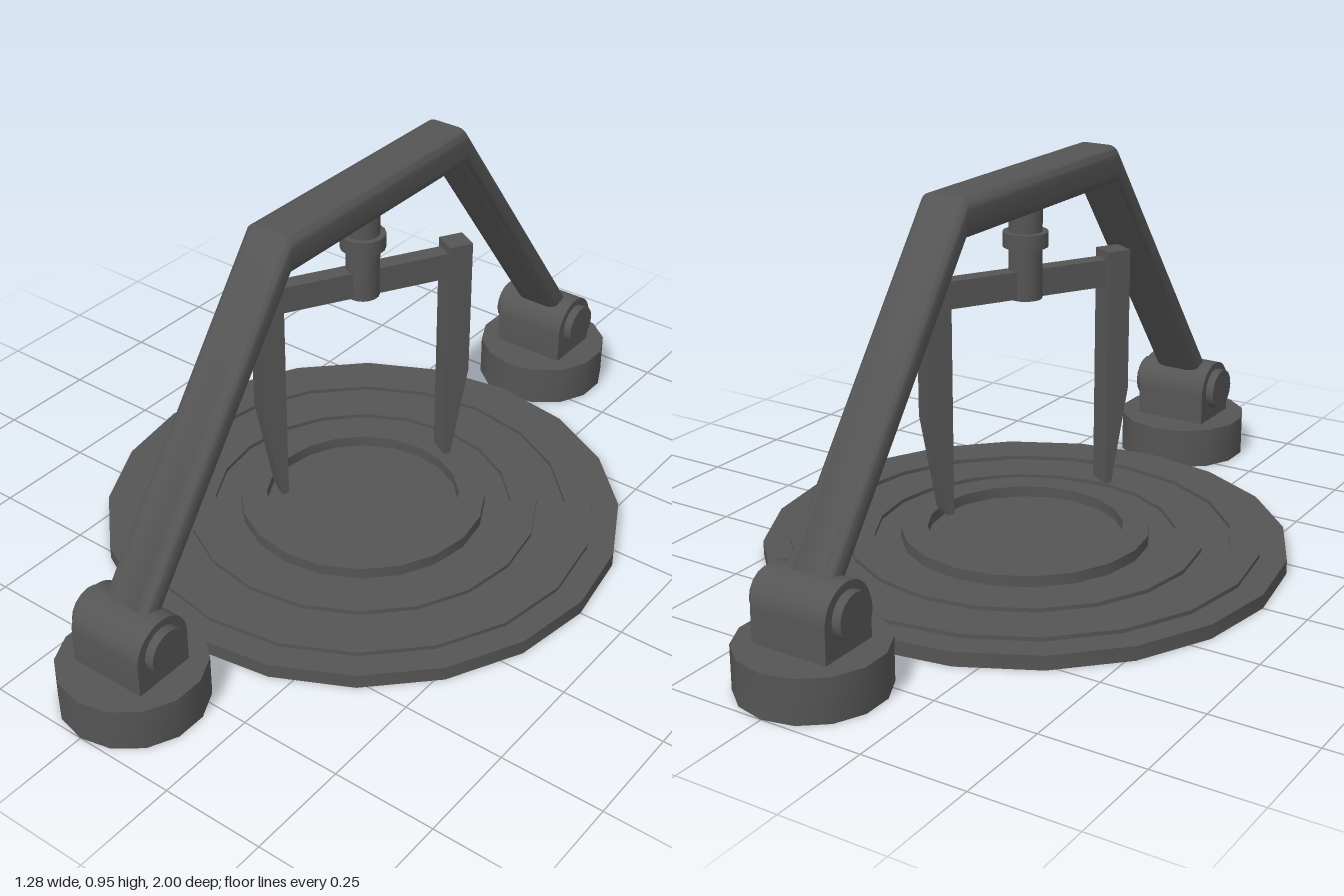
import * as THREE from 'three';
import { toCreasedNormals } from 'three/addons/utils/BufferGeometryUtils.js';

const material = new THREE.MeshStandardMaterial({ color: 0x555555 });

function part(name, geometry, parent, x = 0, y = 0, z = 0) {
  const mesh = new THREE.Mesh(toCreasedNormals(geometry, 0.7), material);
  mesh.name = name;
  mesh.position.set(x, y, z);
  parent.add(mesh);
  return mesh;
}

// Extrudes a shape centred on its depth
function slab(shape, depth, steps = 1, curveSegments = 3) {
  const g = new THREE.ExtrudeGeometry(shape, { depth, steps, curveSegments, bevelEnabled: false });
  return g.translate(0, 0, -depth / 2);
}

// Rounded rectangle centred on the origin
function roundedRect(w, h, r) {
  const s = new THREE.Shape();
  const x = w / 2 - r, y = h / 2 - r;
  s.absarc(x, y, r, 0, Math.PI / 2);
  s.absarc(-x, y, r, Math.PI / 2, Math.PI);
  s.absarc(-x, -y, r, Math.PI, Math.PI * 1.5);
  s.absarc(x, -y, r, Math.PI * 1.5, Math.PI * 2);
  return s;
}

// Arched beam: a straight bar whose outer sections drop, so the legs are sheared
function archGeometry() {
  const g = slab(roundedRect(0.126, 0.096, 0.03), 1.72, 3);
  const p = g.attributes.position;
  for (let i = 0; i < p.count; i++) {
    const z = p.getZ(i);
    if (Math.abs(z) < 0.5) p.setZ(i, Math.sign(z) * 0.328);
    else p.setY(i, p.getY(i) - 0.717);
  }
  return g;
}

export function createModel() {
  const model = new THREE.Group();
  model.name = 'clawStand';

  // Round platform with stepped rings and a sunken centre
  const profile = [
    [0, 0], [0.64, 0], [0.64, 0.035], [0.575, 0.035], [0.575, 0.045], [0.505, 0.045],
    [0.505, 0.035], [0.435, 0.035], [0.435, 0.045], [0.37, 0.045], [0.37, 0.035],
    [0.305, 0.035], [0.305, 0.063], [0.24, 0.063], [0.24, 0.035], [0, 0.035],
  ].map(([x, y]) => new THREE.Vector2(x, y));
  part('platform', new THREE.LatheGeometry(profile, 20), model);

  // Arch over the platform
  part('arch', archGeometry(), model, 0, 0.903, 0);

  // Foot, hinge block and pin at each end of the arch
  const hinge = new THREE.Shape();
  hinge.moveTo(-0.077, 0.1);
  hinge.lineTo(0.077, 0.1);
  hinge.absarc(0, 0.185, 0.077, 0, Math.PI);
  hinge.closePath();
  for (const side of [1, -1]) {
    const support = new THREE.Group();
    support.name = side > 0 ? 'frontSupport' : 'backSupport';
    support.position.z = side * 0.83;
    model.add(support);
    part('foot', new THREE.CylinderGeometry(0.17, 0.17, 0.105, 14), support, 0, 0.0525, 0);
    part('hingeBlock', slab(hinge, 0.194, 1, 12).rotateY(Math.PI / 2), support);
    part('hingePin', new THREE.CylinderGeometry(0.054, 0.054, 0.238, 16).rotateZ(Math.PI / 2),
      support, 0, 0.19, 0);
  }

  // Hanging claw, turned about its vertical shaft
  const claw = new THREE.Group();
  claw.name = 'claw';
  claw.rotation.y = Math.PI / 3;
  model.add(claw);
  part('shaft', new THREE.CylinderGeometry(0.04, 0.04, 0.24, 16), claw, 0, 0.76, 0);
  part('collar', new THREE.CylinderGeometry(0.054, 0.054, 0.036, 16), claw, 0, 0.783, 0);
  part('crossbar', new THREE.BoxGeometry(0.43, 0.066, 0.042), claw, 0, 0.677, 0);

  // Two fingers, tapering on the outside toward the tip
  const finger = new THREE.Shape([
    [0.207, 0.14], [0.224, 0.14], [0.267, 0.38], [0.267, 0.73], [0.207, 0.73],
  ].map(([x, y]) => new THREE.Vector2(x, y)));
  for (const turn of [0, Math.PI]) {
    part('finger', slab(finger, 0.06), claw).rotation.y = turn;
  }
  return model;
}
